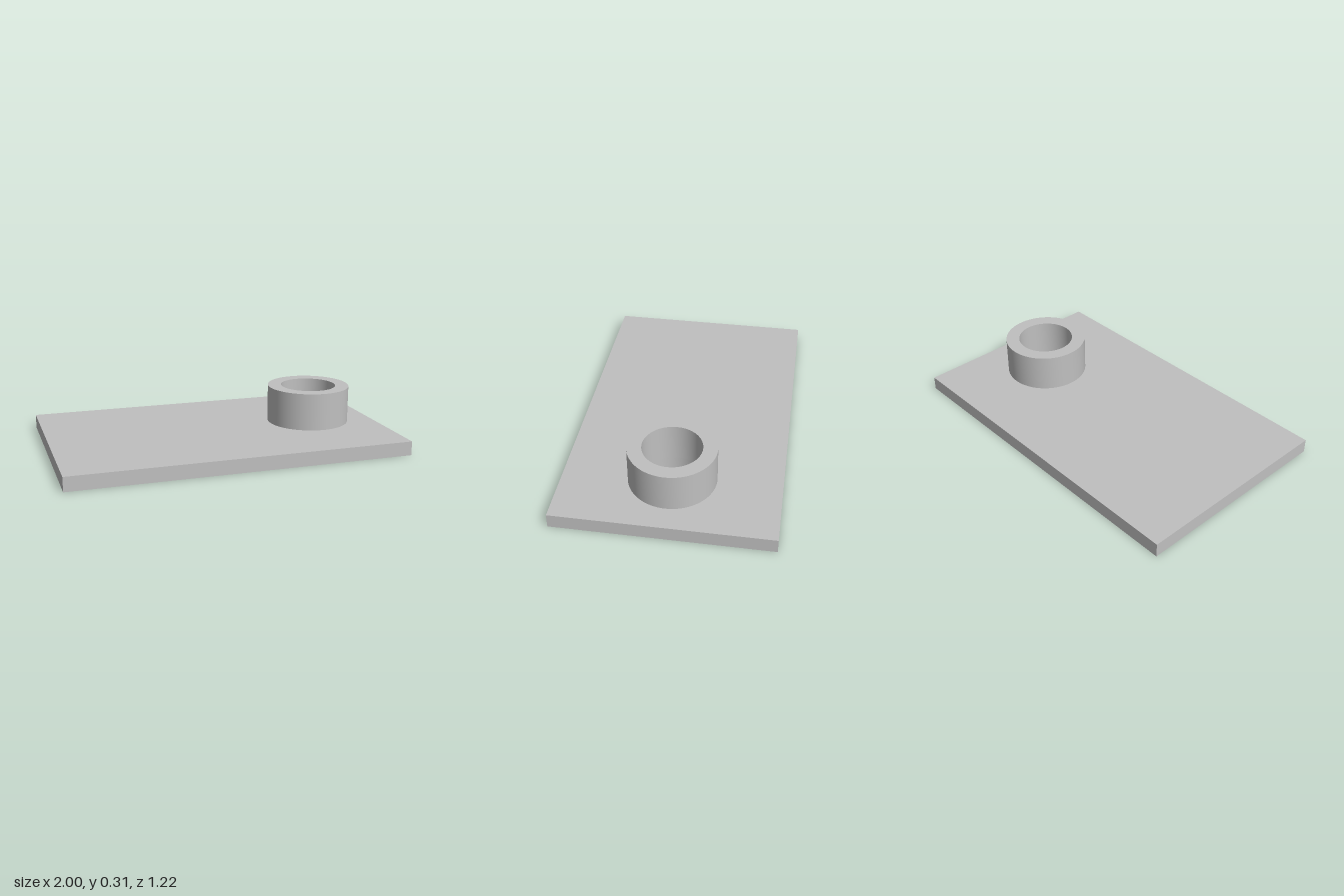
import * as THREE from 'three';
import { toCreasedNormals } from 'three/addons/utils/BufferGeometryUtils.js';

const LENGTH = 2, WIDTH = 1.224, PLATE_TOP = 0.083, BOSS_TOP = 0.306;
const BOSS_X = 0.61, BOSS_RADIUS = 0.248, BORE_RADIUS = 0.167;

// Extrudes an outline, pierced by the bore, upwards from y0 to y1.
function boredSlab(name, outline, y0, y1, material) {
  outline.holes.push(new THREE.Path().absarc(BOSS_X, 0, BORE_RADIUS, 0, Math.PI * 2, true));
  const extruded = new THREE.ExtrudeGeometry(outline, {
    depth: y1 - y0, bevelEnabled: false, curveSegments: 48,
  });
  extruded.rotateX(-Math.PI / 2).translate(0, y0, 0);
  const mesh = new THREE.Mesh(toCreasedNormals(extruded, 0.6), material);
  mesh.name = name;
  return mesh;
}

export function createModel() {
  const group = new THREE.Group();
  group.name = 'platedBoss';
  const metal = new THREE.MeshStandardMaterial({ color: 0xc0c0c0 });
  metal.name = 'greyMetal';

  // Flat rectangular plate with the bore running through it
  const x = LENGTH / 2, z = WIDTH / 2;
  const rectangle = new THREE.Shape([
    new THREE.Vector2(-x, -z), new THREE.Vector2(x, -z),
    new THREE.Vector2(x, z), new THREE.Vector2(-x, z),
  ]);
  group.add(boredSlab('basePlate', rectangle, 0, PLATE_TOP, metal));

  // Round hollow boss standing on the plate
  const circle = new THREE.Shape().absarc(BOSS_X, 0, BOSS_RADIUS, 0, Math.PI * 2, false);
  group.add(boredSlab('boss', circle, PLATE_TOP, BOSS_TOP, metal));

  return group;
}
